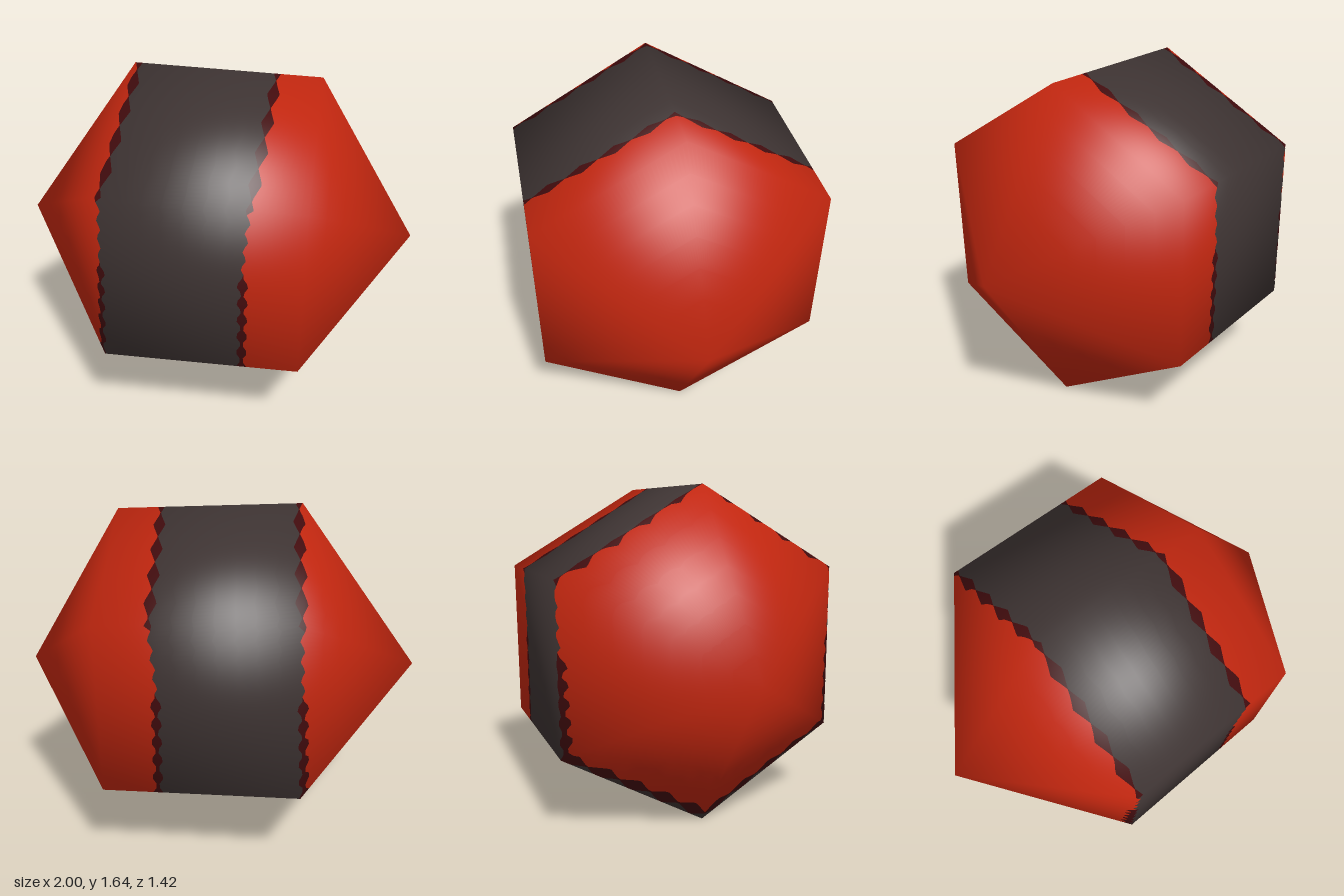
import * as THREE from 'three';

const SEG = 36;   // samples along each hexagon side
const SUB = 7;    // subdivisions along x of each stretch
const CENTRE = new THREE.Vector3(0, 0.82, 0);
const APEX_L = new THREE.Vector3(-1, 0.83, 0);
const APEX_R = new THREE.Vector3(1, 0.81, 0);

// Point on a slightly tilted hexagonal ring; u runs 0..6 around it
function ringPoint(u, radius, cy, x0, tilt) {
  const corner = k => new THREE.Vector2(cy + radius * Math.cos(k * Math.PI / 3), radius * Math.sin(k * Math.PI / 3));
  const k = Math.floor(u);
  const p = corner(k).lerp(corner(k + 1), u - k);
  return new THREE.Vector3(x0 + tilt * p.x, p.x, p.y);
}
const ringL = u => ringPoint(u, 0.82, 0.825, -0.43, 0.015);
const ringR = u => ringPoint(u, 0.80, 0.81, 0.485, 0.016);

// Surface point at a given x on the line apex - ring - ring - apex
function surfacePoint(u, x) {
  const line = [APEX_L, ringL(u), ringR(u), APEX_R];
  const i = x < line[1].x ? 0 : x < line[2].x ? 1 : 2;
  const a = line[i], b = line[i + 1];
  return a.clone().lerp(b, (x - a.x) / (b.x - a.x));
}

// Serrated seams: opposite zigzags enclose dark diamonds, merged on the upper side walls
function seam(u, centre, side) {
  const y = ringL(u).y;
  const wave = Math.abs(((y / 0.09) % 1) * 2 - 1);
  const merged = y > 0.9 && y < 1.22;
  return centre(y) + (merged ? 0.012 * (2 * wave - 1) : side * 0.03 * (1 - wave));
}
const seamL = side => u => seam(u, y => -0.46 + 0.045 * y, side);
const seamR = side => u => seam(u, y => 0.23 + 0.09 * Math.max(0, y - 0.95), side);

// Strip of the shell between two x limits that may vary around the body
function strip(name, from, to, material) {
  const positions = [], normals = [], index = [];
  const columns = 3 * SUB + 1, rows = 6 * SEG;
  for (let i = 0; i <= rows; i++) {
    const u = (i % rows) / SEG;
    const a = from(u), b = to(u);
    const stops = [a, THREE.MathUtils.clamp(ringL(u).x, a, b), THREE.MathUtils.clamp(ringR(u).x, a, b), b];
    for (let j = 0; j < columns; j++) {
      const s = Math.min(2, Math.floor(j / SUB));
      const p = surfacePoint(u, THREE.MathUtils.lerp(stops[s], stops[s + 1], j / SUB - s));
      positions.push(p.x, p.y, p.z);
      // rounded shading over the faceted body
      const n = p.clone().sub(CENTRE).normalize();
      normals.push(n.x, n.y, n.z);
      if (i < rows && j < columns - 1) {
        const k = i * columns + j;
        index.push(k, k + columns, k + 1, k + 1, k + columns, k + columns + 1);
      }
    }
  }
  const geometry = new THREE.BufferGeometry();
  geometry.setAttribute('position', new THREE.Float32BufferAttribute(positions, 3));
  geometry.setAttribute('normal', new THREE.Float32BufferAttribute(normals, 3));
  geometry.setIndex(index);
  const mesh = new THREE.Mesh(geometry, material);
  mesh.name = name;
  return mesh;
}

function material(name, color) {
  const m = new THREE.MeshStandardMaterial({ color });
  m.name = name;
  return m;
}

export function createModel() {
  const red = material('red', 0xc0260f);
  const charcoal = material('charcoal', 0x3d3332);
  const darkRed = material('dark red', 0x420c0e);

  const model = new THREE.Group();
  model.name = 'bandedHexagonalGem';
  model.add(
    strip('rightEnd', () => -1, seamL(-1), red),
    strip('rightSeam', seamL(-1), seamL(1), darkRed),
    strip('middleBand', seamL(1), seamR(-1), charcoal),
    strip('leftSeam', seamR(-1), seamR(1), darkRed),
    strip('leftEnd', seamR(1), () => 1, red),
  );
  return model;
}
